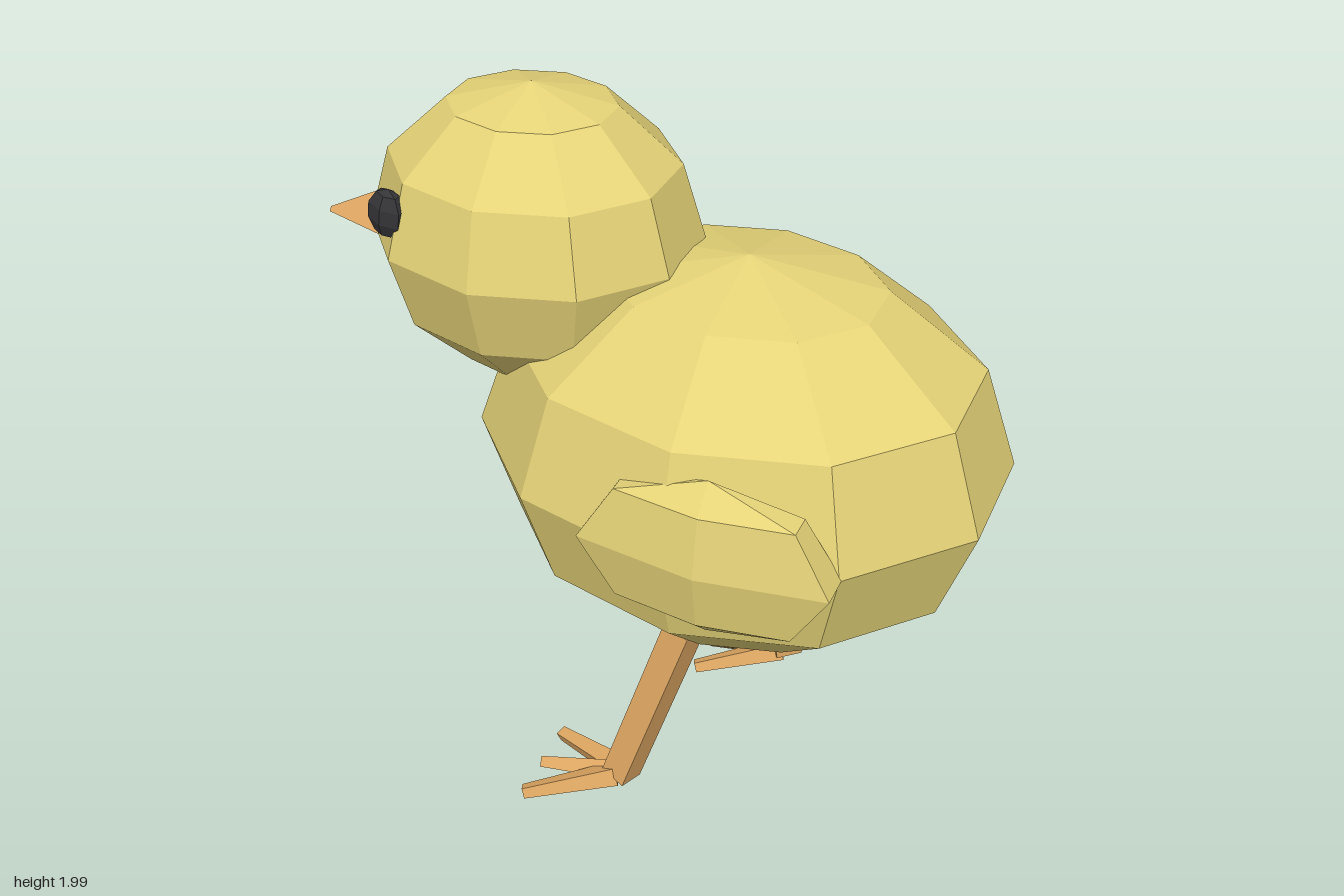
import * as THREE from 'three';

const mat = (color) => {
  const m = new THREE.MeshStandardMaterial({ flatShading: true });
  m.color.set(color);
  return m;
};

export function createModel() {
  const group = new THREE.Group();
  const down = mat(0xe6d478);
  const horn = mat(0xe2aa64);
  const dark = mat(0x353538);

  const add = (name, geometry, material) => {
    const mesh = new THREE.Mesh(geometry, material);
    mesh.name = name;
    group.add(mesh);
    return mesh;
  };

  // Faceted ellipsoid, turned half a segment so flat sides face the ends
  const ball = (name, pos, radii, sides, rings, material) => {
    const geo = new THREE.SphereGeometry(1, sides, rings, Math.PI / sides);
    geo.scale(...radii);
    const mesh = add(name, geo, material);
    mesh.position.set(...pos);
    return mesh;
  };

  // Four-sided tapered bar from point a to point b
  const bar = (name, a, b, ra, rb, flatten = 1) => {
    const from = new THREE.Vector3(...a);
    const dir = new THREE.Vector3(...b).sub(from);
    const geo = new THREE.CylinderGeometry(rb, ra, dir.length(), 4);
    geo.scale(flatten, 1, 1);
    const mesh = add(name, geo, horn);
    mesh.position.copy(from).addScaledVector(dir, 0.5);
    mesh.quaternion.setFromUnitVectors(new THREE.Vector3(0, 1, 0), dir.normalize());
    return mesh;
  };

  // Body, head and beak
  ball('body', [0.26, 1.08, 0], [0.725, 0.56, 0.58], 10, 6, down);
  ball('head', [-0.33, 1.595, 0], [0.447, 0.405, 0.39], 10, 6, down);
  bar('beak', [-0.7, 1.545, 0], [-0.96, 1.515, 0], 0.135, 0.012, 0.8);

  // Each side: wing, eye, leg in mid-stride and three toes
  const strides = [
    { s: 1, hip: 0.225, ankle: 0.05 },
    { s: -1, hip: 0.25, ankle: 0.3 },
  ];
  for (const { s, hip, ankle } of strides) {
    ball('wing', [0.36, 1.08, s * 0.507], [0.381, 0.23, 0.097], 6, 4, down);

    const eye = ball('eye', [-0.605, 1.71, s * 0.28], [0.058, 0.07, 0.034], 6, 5, dark);
    eye.rotation.set(0, -s * 0.15, -0.15);

    bar('leg', [hip, 0.66, s * 0.305], [ankle, 0.09, s * 0.347], 0.058, 0.056);
    for (const spread of [-0.13, 0, 0.13]) {
      bar('toe', [ankle - 0.01, 0.09, s * 0.347 + spread * 0.1],
        [ankle - 0.25, 0.03, s * 0.347 + spread], 0.038, 0.022);
    }
  }
  return group;
}
